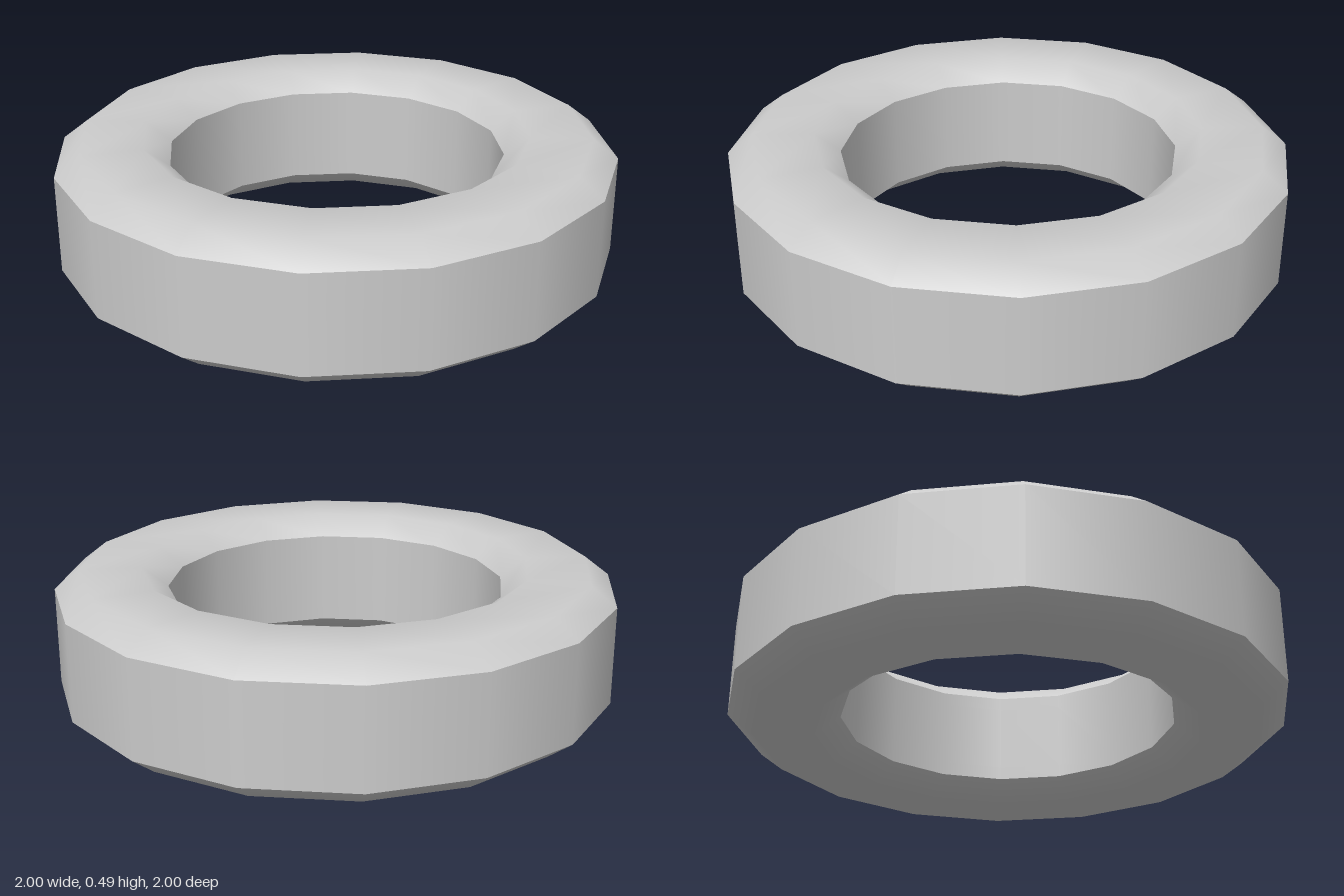
import * as THREE from 'three';

const SIDES = 16;
const HEIGHT = 0.49;

export function createModel() {
  const model = new THREE.Group();
  model.name = 'tyre';
  const material = new THREE.MeshStandardMaterial({ color: 0xcccccc, side: THREE.DoubleSide });

  // Each band is its own lathe, so shading is smooth within it and sharp between bands
  const addBand = (name, profile) => {
    const points = profile.map(([r, y]) => new THREE.Vector2(r, y));
    const mesh = new THREE.Mesh(new THREE.LatheGeometry(points, SIDES), material);
    mesh.name = name;
    model.add(mesh);
  };

  // Outer tread, running upwards so it faces out
  addBand('tread', [[1, 0.07], [1, 0.42]]);

  // Bevelled side walls, the lower one mirrored from the upper
  const wall = [[1, 0.42], [0.91, HEIGHT], [0.69, HEIGHT], [0.6, 0.42]];
  addBand('upperSidewall', wall);
  addBand('lowerSidewall', wall.map(([r, y]) => [r, HEIGHT - y]).reverse());

  // Inner rim: a narrow bead above and below the liner, running downwards to face the axis
  addBand('upperBead', [[0.6, 0.42], [0.6, 0.37]]);
  addBand('innerLiner', [[0.6, 0.37], [0.6, 0.12]]);
  addBand('lowerBead', [[0.6, 0.12], [0.6, 0.07]]);

  return model;
}
